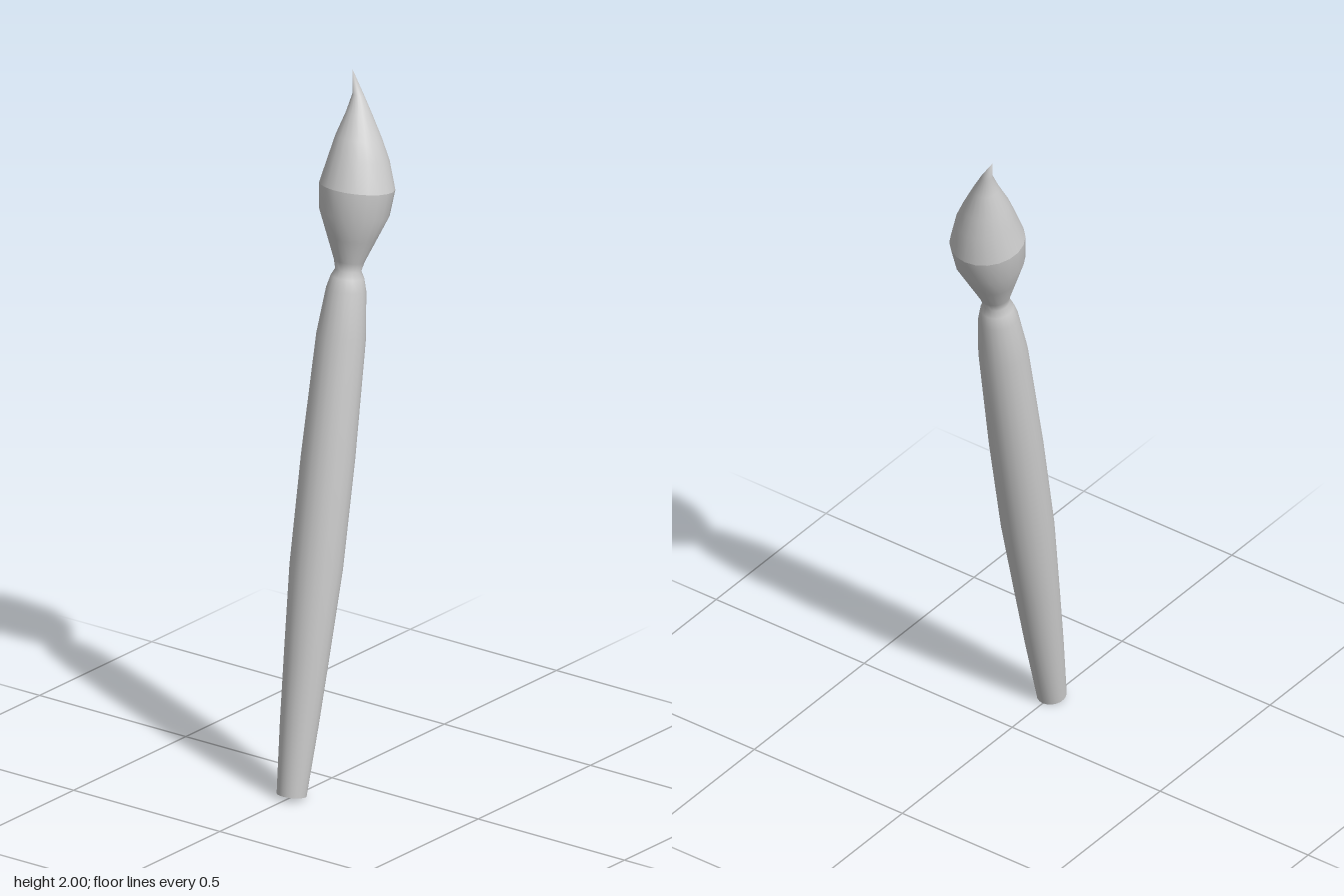
import * as THREE from 'three';
import { mergeVertices } from 'three/addons/utils/BufferGeometryUtils.js';

const SIDES = 20;
const material = new THREE.MeshStandardMaterial({ color: 0xcccccc });

// Smooth round part from rings of [height, radius, sideways shift in z]
function turned(name, rings) {
  const lathe = new THREE.LatheGeometry(rings.map(([h, r]) => new THREE.Vector2(r, h)), SIDES);
  const pos = lathe.attributes.position;
  for (let i = 0; i < pos.count; i++) {
    pos.setZ(i, pos.getZ(i) + (rings[i % rings.length][2] || 0));
  }
  lathe.deleteAttribute('normal');
  lathe.deleteAttribute('uv');
  const geometry = mergeVertices(lathe, 1e-5);
  geometry.computeVertexNormals();
  const mesh = new THREE.Mesh(geometry, material);
  mesh.name = name;
  return mesh;
}

export function createModel() {
  const brush = new THREE.Group();
  brush.name = 'paintbrush';

  // Slim handle, pinched neck and flared holder
  brush.add(turned('handle', [
    [0, 0.041], [0.2, 0.053], [0.39, 0.062], [0.64, 0.073], [0.95, 0.074],
    [1.29, 0.068], [1.42, 0.055], [1.455, 0.046], [1.475, 0.036],
    [1.5, 0.042], [1.565, 0.068], [1.635, 0.096], [1.71, 0.104],
  ]));

  // Flat end of the handle
  const end = new THREE.Mesh(new THREE.CircleGeometry(0.041, SIDES), material);
  end.name = 'handleEnd';
  end.rotation.x = Math.PI / 2;
  brush.add(end);

  // Bristles curling back to a point
  brush.add(turned('bristles', [
    [1.71, 0.104, 0], [1.79, 0.083, -0.004], [1.845, 0.064, -0.012],
    [1.91, 0.036, -0.02], [1.96, 0.016, -0.03], [2.023, 0.0, -0.057],
  ]));

  // Lean of the whole brush
  brush.rotation.z = -0.172;
  brush.position.set(-0.18, 0.007, 0);

  const model = new THREE.Group();
  model.add(brush);
  return model;
}
